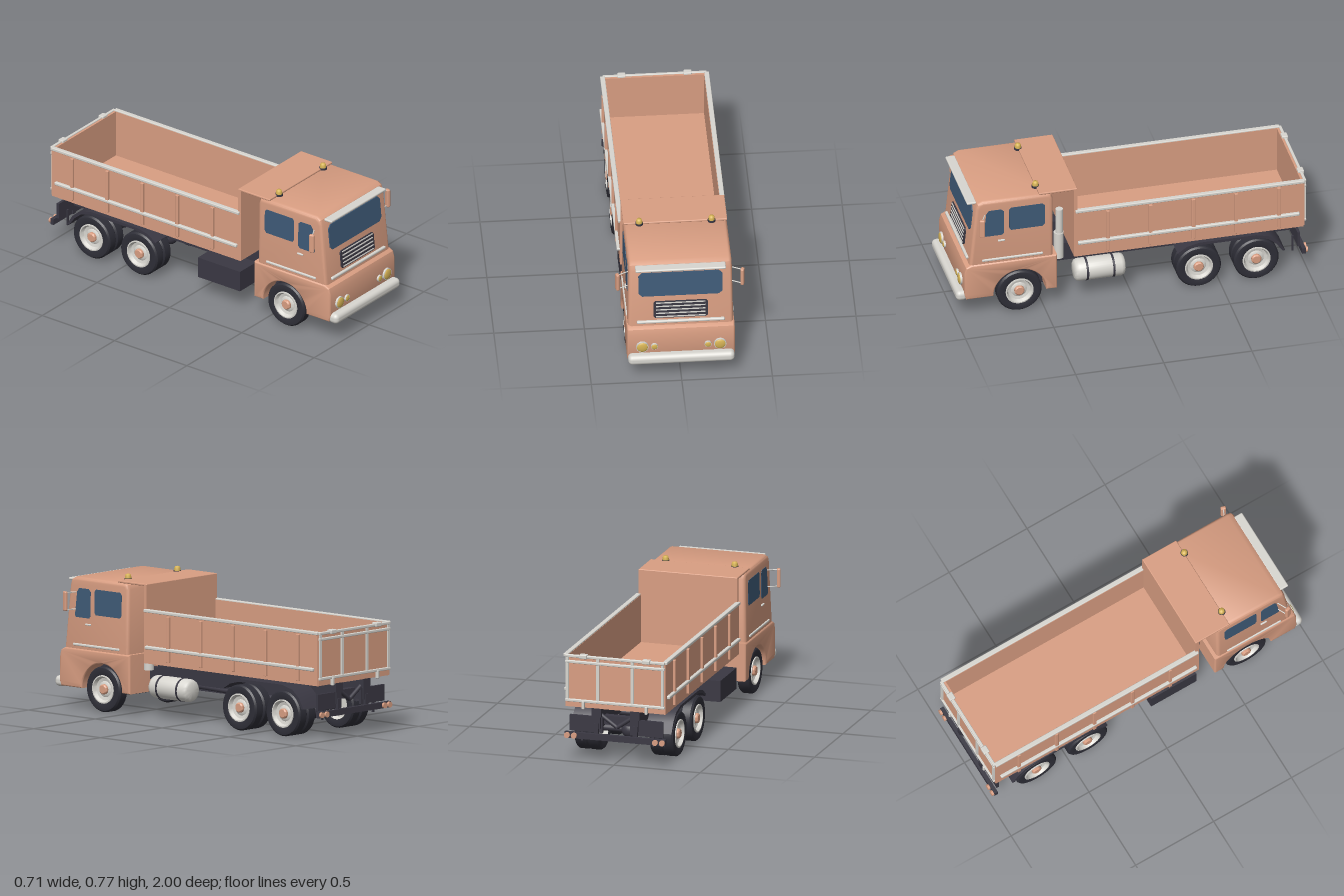
import * as THREE from 'three';
import { toCreasedNormals } from 'three/addons/utils/BufferGeometryUtils.js';
import { RoundedBoxGeometry } from 'three/addons/geometries/RoundedBoxGeometry.js';

const mat = (name, color) => new THREE.MeshStandardMaterial({ name, color });

export function createModel() {
  const paint = mat('copper paint', 0xd99e82);
  const chassis = mat('chassis grey', 0x3a3843);
  const rubber = mat('tyre rubber', 0x2e2e37);
  const silver = mat('silver trim', 0xd8d6d0);
  const glass = mat('window glass', 0x3f5b78);
  const amber = mat('amber lamp', 0xd6b355);

  const truck = new THREE.Group();
  truck.name = 'dumpTruck';

  function add(name, geo, m, x = 0, y = 0, z = 0, parent = truck) {
    const mesh = new THREE.Mesh(geo, m);
    mesh.name = name;
    mesh.position.set(x, y, z);
    parent.add(mesh);
    return mesh;
  }
  // Box given by its limits on each axis
  function box(name, m, [x0, x1], [y0, y1], [z0, z1], r = 0) {
    const s = [x1 - x0, y1 - y0, z1 - z0];
    const g = r ? new RoundedBoxGeometry(...s, 3, r) : new THREE.BoxGeometry(...s);
    return add(name, g, m, (x0 + x1) / 2, (y0 + y1) / 2, (z0 + z1) / 2);
  }
  // Same box on both sides
  function pair(name, m, [x0, x1], y, z, r = 0) {
    box(name, m, [x0, x1], y, z, r);
    box(name, m, [-x1, -x0], y, z, r);
  }
  function rod(name, m, r, a, b) {
    const p = new THREE.Vector3(...a), q = new THREE.Vector3(...b);
    const d = q.clone().sub(p);
    const mesh = add(name, new THREE.CylinderGeometry(r, r, d.length(), 16), m);
    mesh.position.copy(p).add(q).multiplyScalar(0.5);
    mesh.quaternion.setFromUnitVectors(new THREE.Vector3(0, 1, 0), d.normalize());
    return mesh;
  }
  // Side profile of [z, y] points extruded across x
  function profile(pts, x0, x1, bevel = 0) {
    const shape = new THREE.Shape(pts.map(([z, y]) => new THREE.Vector2(-z, y)));
    const g = new THREE.ExtrudeGeometry(shape, {
      depth: x1 - x0 - 2 * bevel, bevelEnabled: bevel > 0, bevelSize: bevel,
      bevelThickness: bevel, bevelOffset: -bevel, bevelSegments: 4,
    });
    g.rotateY(Math.PI / 2).translate(x0 + bevel, 0, 0);
    return toCreasedNormals(g, 0.6);
  }
  // The upper cab narrows slightly towards the roof
  function taper(g) {
    const p = g.attributes.position;
    for (let i = 0; i < p.count; i++) p.setX(i, p.getX(i) * (1 - 0.05 * Math.max(0, p.getY(i) - 0.33)));
    return g;
  }
  // Plate with cut corners, lying on the sloping cab front
  const slope = 0.1;
  const frontZ = y => 0.925 - slope * (y - 0.33);
  function frontPlate(name, m, w, h, y, c, t, lift = 0) {
    const a = w / 2, b = h / 2;
    const s = new THREE.Shape([[-a + c, -b], [a - c, -b], [a, -b + c], [a, b - c], [a - c, b],
      [-a + c, b], [-a, b - c], [-a, -b + c]].map(p => new THREE.Vector2(...p)));
    const mesh = add(name, new THREE.ExtrudeGeometry(s, { depth: t, bevelEnabled: false }), m, 0, y, frontZ(y) + lift);
    mesh.rotation.x = -slope;
  }

  // Cab: lower part with wheel arches, upper part with rounded roof
  const lower = [[0.945, 0.12], [0.956, 0.15], [0.954, 0.29], [0.945, 0.322], [0.915, 0.338], [0.43, 0.338], [0.43, 0.12]];
  for (let i = 0; i <= 20; i++) {
    const t = Math.PI * i / 20;
    lower.push([0.64 - 0.15 * Math.cos(t), 0.12 + 0.15 * Math.sin(t)]);
  }
  add('lowerCab', profile(lower, -0.297, 0.297, 0.01), paint);
  const upper = [[0.925, 0.32], [0.889, 0.69], [0.878, 0.72], [0.85, 0.735], [0.485, 0.735], [0.46, 0.725], [0.45, 0.7], [0.45, 0.32]];
  add('upperCab', taper(profile(upper, -0.291, 0.291, 0.02)), paint);
  box('engineBay', chassis, [-0.2, 0.2], [0.11, 0.3], [0.47, 0.83]);

  // Glass, side trim and door handles
  const windows = {
    doorWindow: [[0.845, 0.52], [0.83, 0.655], [0.815, 0.675], [0.745, 0.675], [0.73, 0.66], [0.73, 0.525], [0.74, 0.512], [0.835, 0.512]],
    rearSideWindow: [[0.7, 0.55], [0.7, 0.665], [0.69, 0.678], [0.51, 0.678], [0.498, 0.665], [0.498, 0.55], [0.51, 0.535], [0.69, 0.535]],
  };
  for (const [name, pts] of Object.entries(windows)) {
    add(name, taper(profile(pts, 0.287, 0.293)), glass);
    add(name, taper(profile(pts, -0.293, -0.287)), glass);
  }
  pair('sideTrim', silver, [0.285, 0.298], [0.353, 0.367], [0.51, 0.855], 0.005);
  pair('doorHandle', silver, [0.283, 0.297], [0.472, 0.482], [0.725, 0.765], 0.004);
  frontPlate('windshield', glass, 0.465, 0.15, 0.6, 0.02, 0.006);

  // Grille, front trim, visor, bumper
  frontPlate('grille', chassis, 0.3, 0.105, 0.437, 0.01, 0.008);
  for (let i = 0; i < 5; i++) frontPlate('grilleBar', silver, 0.275, 0.006, 0.394 + i * 0.022, 0.001, 0.008, 0.004);
  box('frontTrim', silver, [-0.243, 0.243], [0.351, 0.368], [0.91, 0.934], 0.007);
  box('sunVisor', silver, [-0.25, 0.25], [0.705, 0.72], [0.875, 0.93], 0.007);
  box('frontBumper', silver, [-0.294, 0.294], [0.112, 0.172], [0.935, 1], 0.025);

  // Headlights, mirrors and roof beacons
  for (const s of [-1, 1]) {
    for (const [x, r] of [[0.215, 0.034], [0.148, 0.019]]) {
      add('lampRim', new THREE.CylinderGeometry(r, r, 0.02, 32).rotateX(Math.PI / 2), silver, s * x, 0.215, 0.956);
      const lens = add('headlight', new THREE.SphereGeometry(r * 0.9, 24, 12), amber, s * x, 0.215, 0.965);
      lens.scale.z = 0.3;
    }
    for (const y of [0.555, 0.65]) rod('mirrorArm', silver, 0.003, [s * 0.28, y, 0.835], [s * 0.345, y, 0.868]);
    const mirror = add('mirror', new RoundedBoxGeometry(0.02, 0.108, 0.03, 3, 0.007), paint, s * 0.345, 0.603, 0.867);
    mirror.rotation.y = s * -0.3;
    add('beaconBase', new THREE.CylinderGeometry(0.021, 0.021, 0.012, 24), chassis, s * 0.2, 0.742, 0.53);
    const dome = [[0.018, 0], [0.017, 0.015], [0.013, 0.025], [0, 0.028]].map(p => new THREE.Vector2(...p));
    add('beacon', new THREE.LatheGeometry(dome, 24), amber, s * 0.2, 0.746, 0.53);
  }

  // Tipping body: floor, walls, headboard and cab guard
  box('bodyFloor', paint, [-0.285, 0.285], [0.305, 0.33], [-0.968, 0.33]);
  pair('bodySide', paint, [0.272, 0.29], [0.305, 0.6], [-0.97, 0.33]);
  box('headboard', paint, [-0.287, 0.287], [0.305, 0.742], [0.312, 0.332]);
  box('cabGuard', paint, [-0.287, 0.287], [0.733, 0.746], [0.312, 0.53], 0.005);
  box('tailgate', paint, [-0.288, 0.288], [0.31, 0.6], [-0.975, -0.957]);
  pair('topRail', silver, [0.274, 0.301], [0.59, 0.607], [-0.975, 0.325], 0.004);
  pair('sideRail', silver, [0.285, 0.307], [0.386, 0.405], [-0.945, 0.312], 0.006);
  for (let i = 0; i < 5; i++) {
    const z = 0.142 - i * 0.2425;
    pair('sideRib', paint, [0.285, 0.304], [0.325, 0.582], [z - 0.01, z + 0.01], 0.003);
  }

  // Tailgate frame, hinges and latches
  for (const y of [0.345, 0.565, 0.598]) box('tailgateRail', silver, [-0.288, 0.288], [y - 0.008, y + 0.008], [-0.986, -0.97], 0.004);
  for (const x of [0.1, 0.276]) pair('tailgatePost', silver, [x - 0.008, x + 0.008], [0.345, 0.6], [-0.984, -0.97]);
  pair('tailgateHinge', silver, [0.16, 0.205], [0.588, 0.612], [-0.995, -0.96], 0.005);
  pair('tailgateLatch', silver, [0.175, 0.19], [0.3, 0.345], [-0.992, -0.972], 0.004);

  // Chassis rails, subframe and cross members
  pair('mainRail', chassis, [0.09, 0.13], [0.19, 0.258], [-0.965, 0.47]);
  pair('subframeRail', chassis, [0.085, 0.14], [0.256, 0.306], [-0.97, 0.36]);
  for (const z of [0.38, 0.0, -0.2, -0.54, -0.88]) box('crossMember', chassis, [-0.1, 0.1], [0.2, 0.25], [z - 0.02, z + 0.02]);
  for (const s of [-1, 1]) rod('tipBrace', chassis, 0.012, [s * 0.1, 0.27, -0.94], [0, 0.2, -0.94]);

  // Rear plates, bumper bar and tail lamps
  pair('rearPlate', chassis, [0.08, 0.27], [0.165, 0.255], [-0.955, -0.94]);
  pair('mudFlapStay', chassis, [0.2, 0.212], [0.105, 0.2], [-0.932, -0.922]);
  box('rearBar', chassis, [-0.292, 0.292], [0.128, 0.162], [-0.982, -0.96]);
  pair('barBracket', chassis, [0.1, 0.125], [0.13, 0.22], [-0.97, -0.95]);
  for (const x of [-0.275, -0.235, 0.235, 0.275])
    add('tailLamp', new THREE.CylinderGeometry(0.016, 0.016, 0.018, 20).rotateX(Math.PI / 2), paint, x, 0.145, -0.986);

  // Fuel tank on the left, tool box on the right, exhaust stack behind the cab
  const tank = [[0, -0.145], [0.045, -0.143], [0.058, -0.135], [0.064, -0.12], [0.064, 0.12], [0.058, 0.135], [0.045, 0.143], [0, 0.145]];
  add('fuelTank', toCreasedNormals(new THREE.LatheGeometry(tank.map(p => new THREE.Vector2(...p)), 36).rotateX(Math.PI / 2), 0.7), silver, 0.215, 0.171, 0.175);
  for (const z of [0.25, 0.1]) add('tankStrap', new THREE.CylinderGeometry(0.066, 0.066, 0.012, 36).rotateX(Math.PI / 2), chassis, 0.215, 0.171, z);
  box('toolBox', chassis, [-0.28, -0.13], [0.11, 0.23], [0.03, 0.32]);
  rod('exhaustMuffler', silver, 0.028, [0.18, 0.25, 0.393], [0.18, 0.41, 0.393]);
  rod('exhaustPipe', silver, 0.021, [0.18, 0.4, 0.39], [0.18, 0.56, 0.39]);

  // Rear fenders
  const fender = [[-0.255, 0.235], [-0.31, 0.272], [-0.38, 0.288], [-0.7, 0.288], [-0.78, 0.268], [-0.83, 0.225], [-0.865, 0.165],
    [-0.85, 0.165], [-0.815, 0.215], [-0.77, 0.252], [-0.7, 0.272], [-0.38, 0.272], [-0.315, 0.256], [-0.265, 0.225]];
  add('rearFender', profile(fender, 0.14, 0.29), chassis);
  add('rearFender', profile(fender, -0.29, -0.14), chassis);

  // Wheels: tyre, dished rim and hub
  const lathe = pts => toCreasedNormals(new THREE.LatheGeometry(pts.map(p => new THREE.Vector2(...p)), 40).rotateZ(-Math.PI / 2), 0.6);
  const tyreGeo = lathe([[0.077, -0.03], [0.1, -0.037], [0.119, -0.034], [0.127, -0.024], [0.127, 0.024], [0.119, 0.034], [0.1, 0.037], [0.077, 0.03]]);
  const rimGeo = lathe([[0, -0.01], [0.066, -0.01], [0.079, -0.034], [0.079, 0.036], [0.072, 0.037], [0.062, 0.018], [0.045, 0.014], [0.035, 0.02], [0, 0.02]]);
  const hubGeo = lathe([[0.028, 0.01], [0.028, 0.032], [0.022, 0.038], [0, 0.038]]);
  function wheel(name, side, x, z, hub = true) {
    const g = new THREE.Group();
    g.name = name;
    g.position.set(side * x, 0.127, z);
    if (side < 0) g.rotation.y = Math.PI;
    add('tyre', tyreGeo, rubber, 0, 0, 0, g);
    add('rim', rimGeo, silver, 0, 0, 0, g);
    if (hub) add('hub', hubGeo, paint, 0, 0, 0, g);
    truck.add(g);
  }
  for (const s of [-1, 1]) {
    wheel('frontWheel', s, 0.252, 0.64);
    for (const z of [-0.377, -0.704]) {
      wheel('rearOuterWheel', s, 0.252, z);
      wheel('rearInnerWheel', s, 0.184, z, false);
    }
  }

  // Axles, differentials and drive shaft
  for (const z of [0.64, -0.377, -0.704]) rod('axle', chassis, 0.02, [-0.25, 0.127, z], [0.25, 0.127, z]);
  for (const z of [-0.377, -0.704]) add('differential', new THREE.SphereGeometry(0.05, 24, 16), chassis, 0, 0.127, z);
  rod('driveShaft', chassis, 0.015, [0, 0.17, 0.48], [0, 0.135, -0.704]);

  return truck;
}
